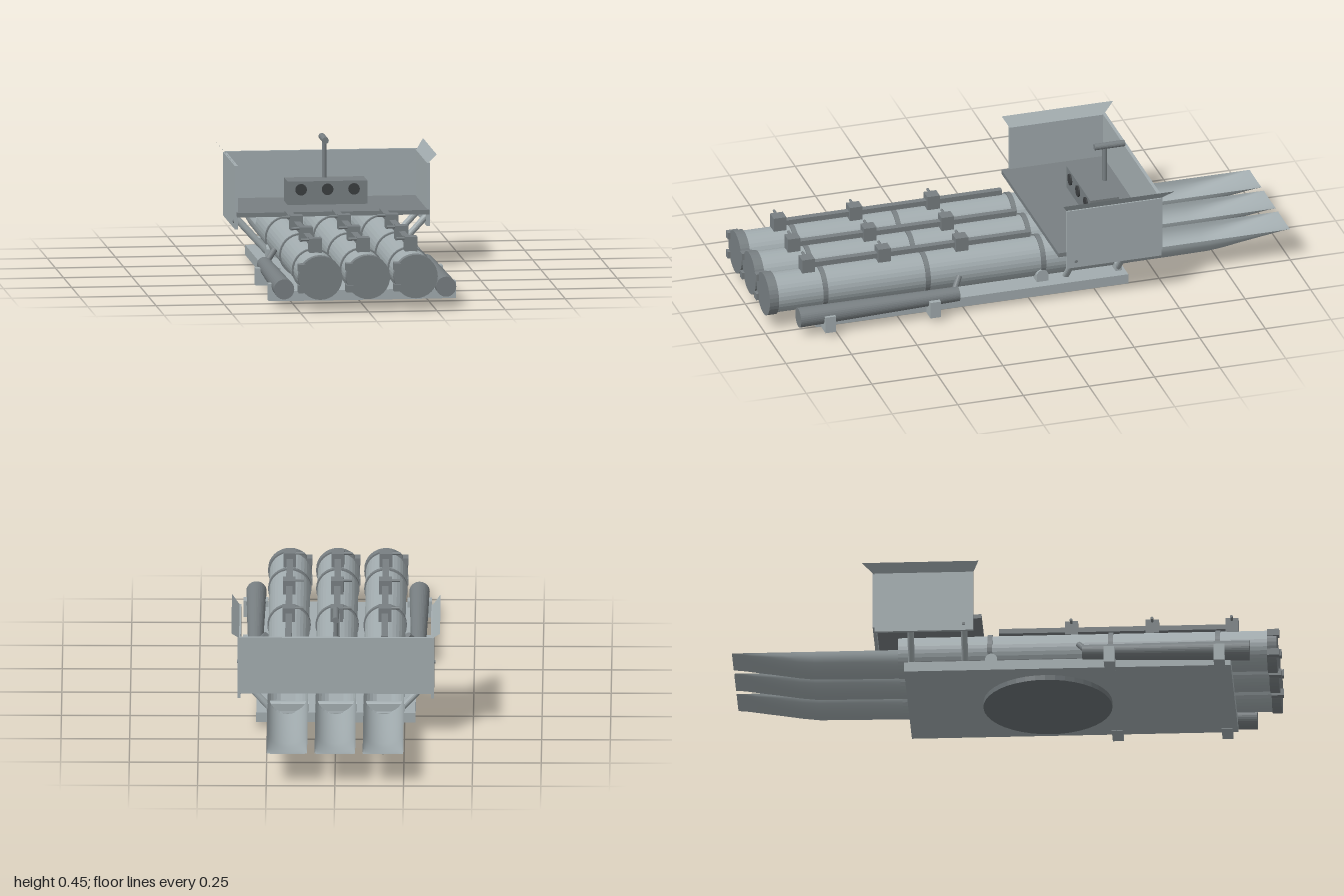
import * as THREE from 'three';
import { toCreasedNormals } from 'three/addons/utils/BufferGeometryUtils.js';

const light = new THREE.MeshStandardMaterial({ color: 0xa2acaf, flatShading: true });
const lightOpen = new THREE.MeshStandardMaterial({ color: 0xa2acaf, flatShading: true, side: THREE.DoubleSide });
const lightSmooth = new THREE.MeshStandardMaterial({ color: 0xa2acaf, side: THREE.DoubleSide });
const dark = new THREE.MeshStandardMaterial({ color: 0x787f82, flatShading: true });
const darker = new THREE.MeshStandardMaterial({ color: 0x6c7376, flatShading: true });
const black = new THREE.MeshStandardMaterial({ color: 0x3b3e40 });

function add(parent, name, mat, geo) {
  const mesh = new THREE.Mesh(geo, mat);
  mesh.name = name;
  parent.add(mesh);
  return mesh;
}

// Box given by its min and max on each axis
function box(parent, name, mat, [x0, x1], [y0, y1], [z0, z1]) {
  const mesh = add(parent, name, mat, new THREE.BoxGeometry(x1 - x0, y1 - y0, z1 - z0));
  mesh.position.set((x0 + x1) / 2, (y0 + y1) / 2, (z0 + z1) / 2);
}

// Cylinder running from point a to point b
function rod(parent, name, mat, a, b, ra, rb = ra, sides = 32, open = false) {
  const from = new THREE.Vector3(...a), to = new THREE.Vector3(...b);
  const dir = to.clone().sub(from);
  const mesh = add(parent, name, mat, new THREE.CylinderGeometry(rb, ra, dir.length(), sides, 1, open));
  mesh.position.copy(from).add(to).multiplyScalar(0.5);
  mesh.quaternion.setFromUnitVectors(new THREE.Vector3(0, 1, 0), dir.normalize());
}

// Half-round trough whose depth shrinks towards its raised lip
function troughGeometry() {
  const stations = [[-0.38, 0.073], [-0.55, 0.072], [-0.7, 0.07], [-0.76, 0.062],
    [-0.82, 0.05], [-0.88, 0.038], [-0.93, 0.026], [-0.97, 0.013], [-1, 0.002]];
  const n = 16, pos = [], index = [];
  stations.forEach(([z, depth], i) => {
    for (let j = 0; j <= n; j++) {
      const a = Math.PI * j / n;
      pos.push(-0.074 * Math.cos(a), -depth * Math.sin(a), z);
      if (i && j) {
        const d = i * (n + 1) + j, c = d - 1, b = d - n - 1, e = b - 1;
        index.push(e, b, c, b, d, c);
      }
    }
  });
  const geo = new THREE.BufferGeometry();
  geo.setAttribute('position', new THREE.Float32BufferAttribute(pos, 3));
  geo.setIndex(index);
  return toCreasedNormals(geo, 0.6);
}

// One launch tube with cap, bands, top rail, latches and rear trough
function launchTube(x) {
  const g = new THREE.Group();
  g.name = 'launchTube';
  g.position.set(x, 0.125, 0);
  rod(g, 'tubeBody', lightOpen, [0, 0, -0.395], [0, 0, 0.96], 0.074, 0.074, 32, true);
  rod(g, 'frontCap', dark, [0, 0, 0.95], [0, 0, 0.985], 0.08);
  for (const z of [0.77, 0.38, -0.06]) rod(g, 'band', dark, [0, 0, z - 0.009], [0, 0, z + 0.009], 0.079);
  box(g, 'topRail', dark, [-0.012, 0.012], [0.086, 0.105], [-0.03, 0.83]);
  for (const z of [0.82, 0.53, 0.235]) {
    box(g, 'railClamp', dark, [-0.023, 0.023], [0.072, 0.125], [z - 0.024, z + 0.024]);
    rod(g, 'clampPin', dark, [-0.053, 0.118, z], [-0.02, 0.118, z], 0.005, 0.005, 12);
  }
  for (const y of [0.038, -0.04]) box(g, 'capHinge', dark, [-0.081, -0.056], [y - 0.013, y + 0.013], [0.95, 0.995]);
  add(g, 'rearTrough', lightSmooth, troughGeometry());
  // Rounded saddles joining the tube to the base
  for (const [z, w] of [[-0.055, 0.022], [-0.345, 0.012]]) {
    box(g, 'saddle', light, [-0.077, 0.077], [-0.072, -0.04], [z - w, z + w]);
    rod(g, 'saddleTop', light, [-0.077, -0.045, z], [0.077, -0.045, z], w, w, 16);
  }
  return g;
}

// Parts on one side; s is the sign of x
function sideParts(s) {
  const g = new THREE.Group();
  g.name = s > 0 ? 'leftSide' : 'rightSide';
  const span = (a, b) => (s > 0 ? [a, b] : [-b, -a]);
  rod(g, 'sideCylinder', dark, [s * 0.297, 0.072, 0.89], [s * 0.297, 0.078, 0.28], 0.037, 0.027);
  rod(g, 'cylinderLever', dark, [s * 0.297, 0.08, 0.3], [s * 0.258, 0.128, 0.265], 0.011, 0.011, 16);
  for (const z of [0.78, 0.38]) box(g, 'cylinderBracket', light, span(0.253, 0.343), [0.017, 0.08], [z - 0.02, z + 0.02]);
  // Diagonal struts below the control platform
  for (const z of [-0.15, -0.345]) rod(g, 'platformStrut', light, [s * 0.349, 0.185, z], [s * 0.23, 0.055, z], 0.012, 0.012, 16);
  box(g, 'sideWall', light, span(0.346, 0.358), [0.15, 0.383], [-0.475, -0.115]);
  rod(g, 'wallBolt', dark, [s * 0.355, 0.175, -0.15], [s * 0.361, 0.175, -0.15], 0.006, 0.006, 12);
  // Flared lip along the top of the wall
  const lip = new THREE.BufferGeometry();
  const lo = s * 0.352, hi = s * 0.38;
  lip.setAttribute('position', new THREE.Float32BufferAttribute(
    [lo, 0.383, -0.115, lo, 0.383, -0.478, hi, 0.416, -0.52, hi, 0.416, -0.095], 3));
  lip.setIndex(s > 0 ? [0, 2, 1, 0, 3, 2] : [0, 1, 2, 0, 2, 3]);
  lip.computeVertexNormals();
  add(g, 'flaredLip', lightOpen, lip);
  return g;
}

export function createModel() {
  const model = new THREE.Group();
  model.name = 'tripleTubeLauncher';

  // Base and turntable
  box(model, 'basePlate', light, [-0.29, 0.29], [0.019, 0.056], [-0.37, 0.82]);
  rod(model, 'turntable', darker, [0, 0, 0.14], [0, 0.02, 0.14], 0.235, 0.235, 40);

  for (const x of [-0.175, 0, 0.175]) model.add(launchTube(x));
  for (const s of [1, -1]) model.add(sideParts(s));

  // Control platform
  const cabin = new THREE.Group();
  cabin.name = 'controlPlatform';
  model.add(cabin);
  box(cabin, 'floor', dark, [-0.352, 0.352], [0.198, 0.214], [-0.475, -0.085]);
  box(cabin, 'backWall', light, [-0.352, 0.352], [0.17, 0.386], [-0.482, -0.47]);

  // Control box with dials and a T-handle
  box(cabin, 'controlBox', dark, [-0.146, 0.146], [0.214, 0.3], [-0.38, -0.27]);
  for (const x of [-0.097, 0, 0.097]) rod(cabin, 'dial', black, [x, 0.27, -0.272], [x, 0.27, -0.264], 0.021, 0.021, 24);
  rod(cabin, 'handlePost', dark, [0, 0.3, -0.37], [0, 0.44, -0.37], 0.009, 0.009, 16);
  rod(cabin, 'handleBar', dark, [0, 0.44, -0.445], [0, 0.44, -0.33], 0.012, 0.012, 16);

  return model;
}
